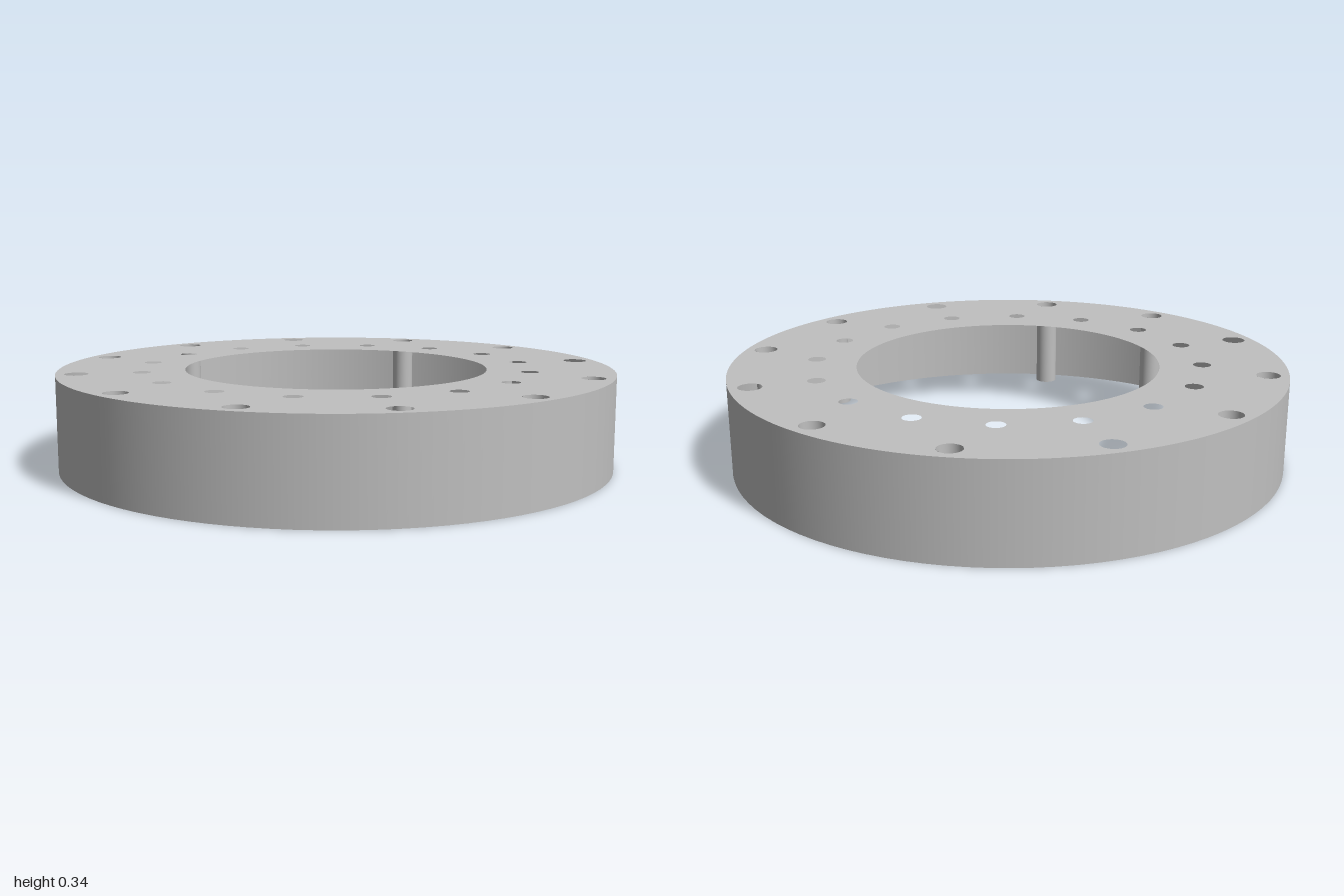
import * as THREE from 'three';

const HEIGHT = 0.34;
const OUTER_R = 1, INNER_R = 0.546;
const BOLT_RING = 0.927, BOLT_R = 0.042;
const SMALL_RING = 0.7, SMALL_R = 0.032;

// Evenly spaced points on a circle
function ring(count, radius) {
  return Array.from({ length: count }, (_, i) => {
    const a = (i / count) * Math.PI * 2;
    return [Math.cos(a) * radius, Math.sin(a) * radius];
  });
}

function circleHole(x, y, r) {
  const path = new THREE.Path();
  path.absarc(x, y, r, 0, Math.PI * 2, true);
  return path;
}

export function createModel() {
  const group = new THREE.Group();
  group.name = 'flangedRing';
  const metal = new THREE.MeshStandardMaterial({ color: 0xc0c0c0, side: THREE.DoubleSide });
  metal.name = 'lightGrey';

  function add(name, geometry, x = 0, y = 0, z = 0) {
    const mesh = new THREE.Mesh(geometry, metal);
    mesh.name = name;
    mesh.position.set(x, y, z);
    group.add(mesh);
  }

  // Thin sheet top with the central opening and two rings of holes
  const bolts = ring(12, BOLT_RING);
  const shape = new THREE.Shape();
  shape.absarc(0, 0, OUTER_R, 0, Math.PI * 2, false);
  shape.holes.push(circleHole(0, 0, INNER_R));
  bolts.forEach(([x, z]) => shape.holes.push(circleHole(x, z, BOLT_R)));
  ring(16, SMALL_RING).forEach(([x, z]) => shape.holes.push(circleHole(x, z, SMALL_R)));
  const plate = new THREE.ShapeGeometry(shape, 96);
  plate.rotateX(-Math.PI / 2);
  add('topPlate', plate, 0, HEIGHT, 0);

  // Thin outer skirt, open below
  add('outerWall', new THREE.CylinderGeometry(OUTER_R, OUTER_R, HEIGHT, 96, 1, true), 0, HEIGHT / 2, 0);

  // Open sleeves below the bolt holes, left out at the four axis positions
  const sleeve = new THREE.CylinderGeometry(BOLT_R, BOLT_R, HEIGHT, 32, 1, true);
  bolts.forEach(([x, z], i) => {
    if (i % 3 !== 0) add('boltSleeve', sleeve, x, HEIGHT / 2, z);
  });

  return group;
}
